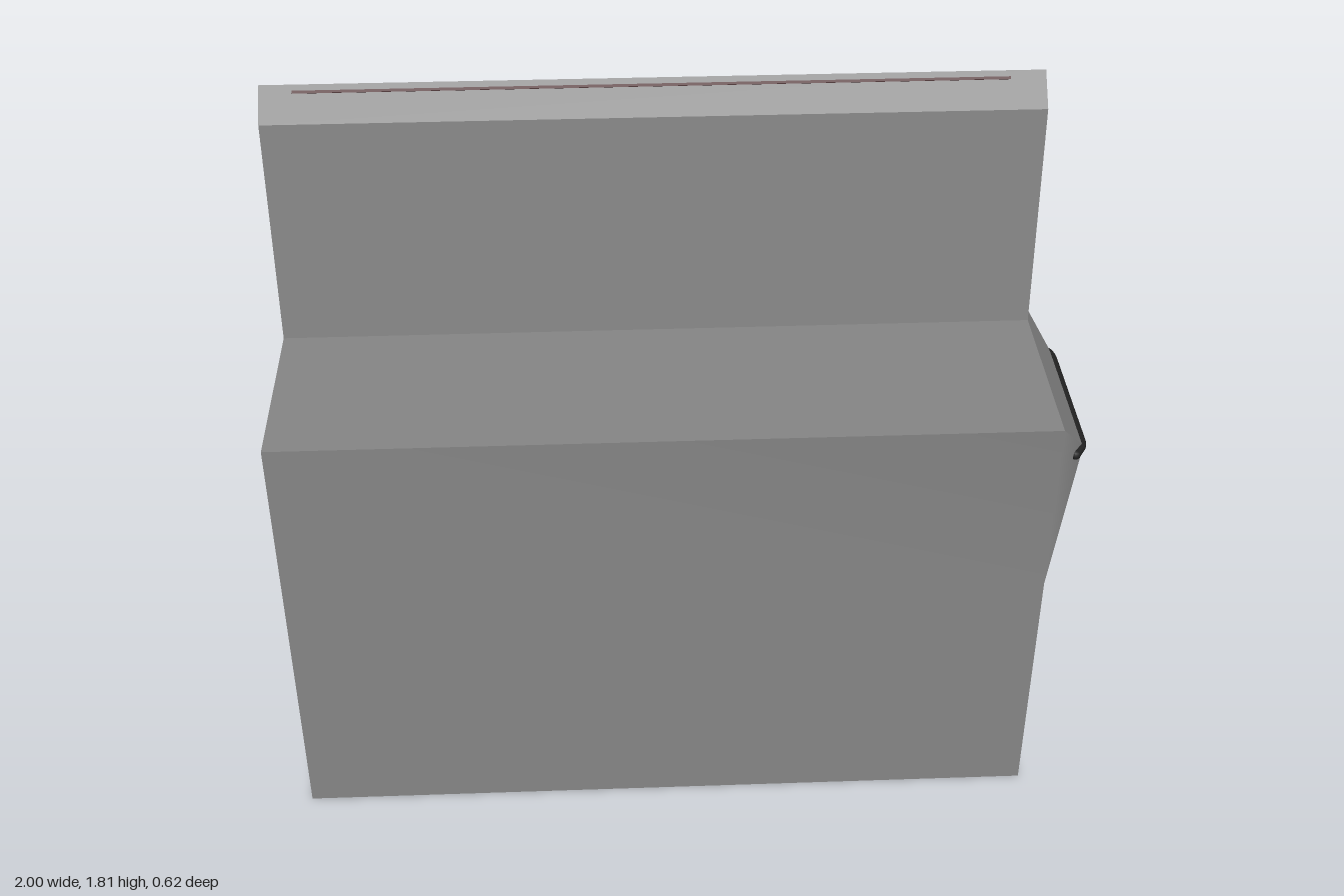
import * as THREE from 'three';

const X0 = -1, X1 = 0.908, TOP = 1.155, Z = 0.31;
const GREY = 0x868686, DARK = 0x222222, RED = 0x4a1c20;

// One smooth-shaded panel from its corners, each face weighing equally in the
// corner normals; separate panels meet at hard edges.
function panel(points, faces) {
  const verts = points.map((p) => new THREE.Vector3(...p));
  const normals = verts.map(() => new THREE.Vector3());
  for (const face of faces) {
    const n = new THREE.Triangle(...face.map((i) => verts[i])).getNormal(new THREE.Vector3());
    face.forEach((i) => normals[i].add(n));
  }
  const g = new THREE.BufferGeometry();
  g.setAttribute('position', new THREE.Float32BufferAttribute(points.flat(), 3));
  g.setAttribute('normal', new THREE.Float32BufferAttribute(
    normals.flatMap((n) => n.normalize().toArray()), 3));
  g.setIndex(faces.flat());
  return g;
}

function mesh(name, geometry, color = GREY) {
  const m = new THREE.Mesh(geometry, new THREE.MeshStandardMaterial({ color }));
  m.name = name;
  return m;
}

function group(name, ...parts) {
  const g = new THREE.Group();
  g.name = name;
  return g.add(...parts);
}

export function createModel() {
  const model = new THREE.Group();
  const quad = [[0, 1, 2], [0, 2, 3]];

  // Side outline; the fourth corner is the tip of the flared nosing.
  const front = [
    [X0, 0, Z], [X1, 0, Z], [X1, 0.68, Z],
    [0.99, 1.03, 0.2], [X1, TOP, Z], [X0, TOP, Z],
  ];
  const back = front.map(([x, y, z]) => [x, y, -z]);
  const [A, B, C, D, E, F] = front;
  const [a, b, c, d, e, f] = back;
  const sideFaces = [[0, 1, 2], [0, 2, 5], [5, 2, 4], [4, 2, 3]];

  // Upright profile: foot, shoulder and crest, at both ends
  const profile = [[TOP, -0.18], [1.734, -0.225], [1.807, -0.292]];
  const [footR, shoulderR, crestR] = profile.map(([y, z]) => [X0, y, z]);
  const [footL, shoulderL, crestL] = profile.map(([y, z]) => [X1, y, z]);

  // Body: a block with a bevelled bulge on its left end
  model.add(group('body',
    mesh('frontPanel', panel(front, sideFaces)),
    mesh('endPanel', panel([B, b, c, C, d, D], [...quad, [3, 2, 4], [3, 4, 5]])),
    mesh('nosingSlope', panel([D, d, e, E], quad)),
    mesh('topPanel', panel([F, E, footL, footR], quad)),
    mesh('bottomPanel', panel([a, b, B, A], quad)),
  ));

  // Upright: tapered, with a sloping top
  model.add(group('upright',
    mesh('uprightFront', panel([footR, footL, shoulderL, shoulderR], quad)),
    mesh('uprightTop', panel([shoulderR, shoulderL, crestL, crestR], quad)),
    mesh('uprightEnd', panel([footL, e, crestL, shoulderL], quad)),
  ));

  // Back and plain end run from the ground to the crest of the upright
  model.add(
    mesh('backPanel', panel(
      [...back, e, f, crestR, crestL],
      [...sideFaces.map((t) => [...t].reverse()), [6, 7, 8], [6, 8, 9]])),
    mesh('plainEnd', panel(
      [a, A, F, footR, shoulderR, crestR, f],
      [[0, 1, 2], [0, 2, 3], [0, 3, 6], [3, 4, 5], [3, 5, 6]])),
  );

  // Thin strip lying on the sloping top of the upright
  const strip = mesh('topStrip', new THREE.BoxGeometry(1.74, 0.003, 0.007), RED);
  strip.position.set(-0.05, 1.793, -0.279);
  strip.rotation.x = Math.atan2(0.073, 0.067);
  model.add(strip);

  // Dark rail along the nosing ridge, wrapping round its corners
  const path = new THREE.CurvePath();
  const stops = [[0.962, 0.238], [0.981, 0.208], [0.986, 0.185], [0.986, -0.185], [0.981, -0.208], [0.962, -0.238]]
    .map(([x, z]) => new THREE.Vector3(x, 1.03, z));
  for (let i = 1; i < stops.length; i++) path.add(new THREE.LineCurve3(stops[i - 1], stops[i]));
  const rail = group('nosingRail', mesh('railBar', new THREE.TubeGeometry(path, 60, 0.013, 8), DARK));
  for (const end of [stops[0], stops[5]]) {
    const cap = mesh('railCap', new THREE.SphereGeometry(0.013, 10, 8), DARK);
    cap.position.copy(end);
    rail.add(cap);
  }
  model.add(rail);

  return model;
}
